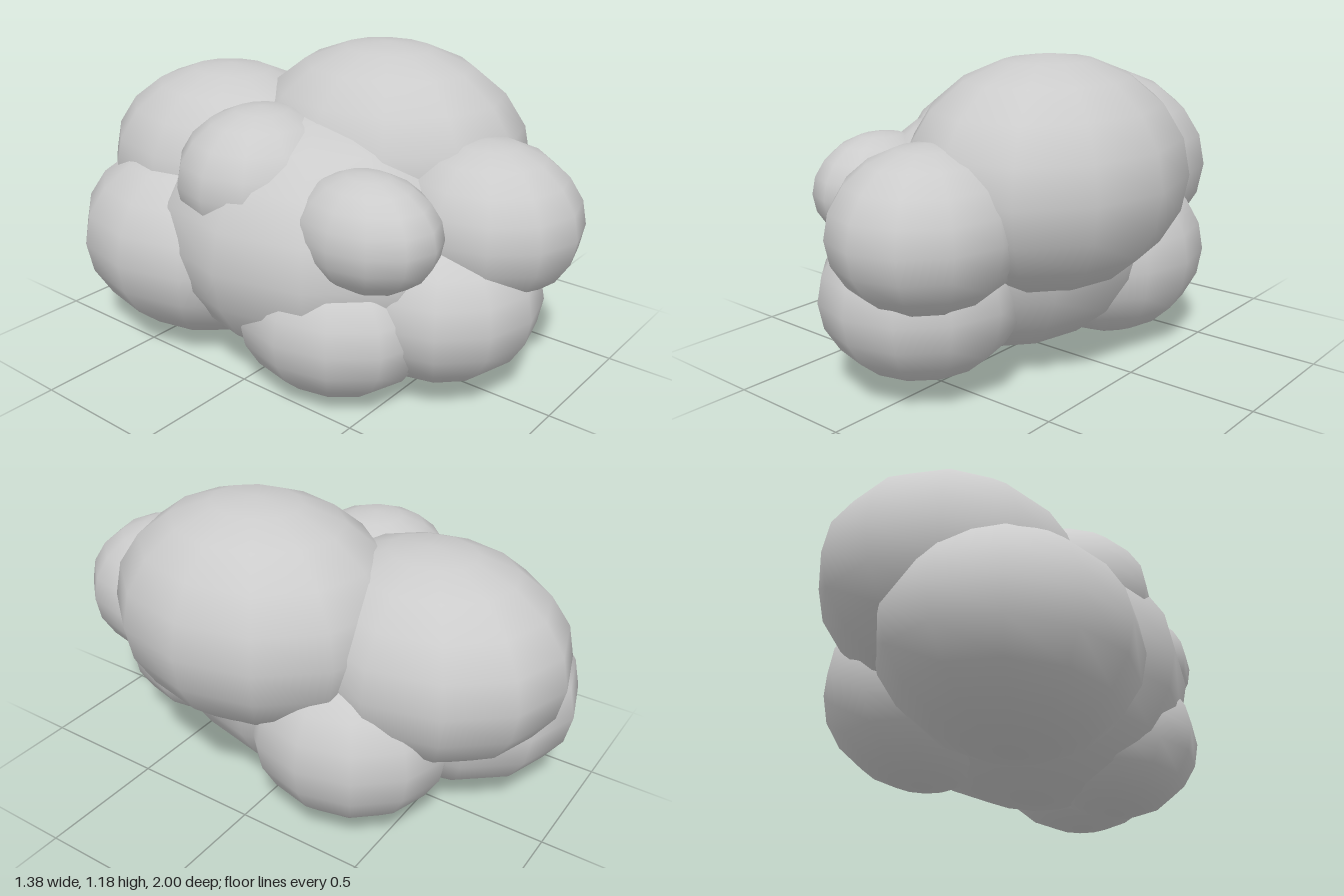
import * as THREE from 'three';

// Each puff: name, centre, radii
const PUFFS = [
  ['core', [-0.08, 0.5, 0.02], [0.58, 0.48, 0.67]],
  ['topPuff', [0.2, 0.75, 0.13], [0.49, 0.43, 0.57]],
  ['frontPuff', [0.095, 0.635, 0.64], [0.33, 0.29, 0.36]],
  ['backTopPuff', [-0.035, 0.65, -0.46], [0.46, 0.4, 0.54]],
  ['backLowerPuff', [-0.25, 0.4, -0.45], [0.44, 0.38, 0.52]],
  ['leftLowerPuff', [0.2, 0.37, -0.28], [0.36, 0.34, 0.4]],
  ['frontLowerPuff', [-0.035, 0.36, 0.55], [0.37, 0.31, 0.37]],
  ['rightLowerPuff', [-0.3, 0.29, 0.26], [0.32, 0.29, 0.39]],
  ['rightFrontPuff', [-0.34, 0.67, 0.44], [0.22, 0.21, 0.28]],
  ['rightUpperPuff', [-0.28, 0.73, -0.08], [0.325, 0.27, 0.32]],
];

export function createModel() {
  const cloud = new THREE.Group();
  cloud.name = 'cloud';
  const sphere = new THREE.SphereGeometry(1, 12, 10);
  const material = new THREE.MeshStandardMaterial({ color: 0xcccccc });

  // Overlapping stretched spheres form the cloud
  for (const [name, centre, radii] of PUFFS) {
    const puff = new THREE.Mesh(sphere, material);
    puff.name = name;
    puff.position.set(...centre);
    puff.scale.set(...radii);
    cloud.add(puff);
  }
  return cloud;
}
